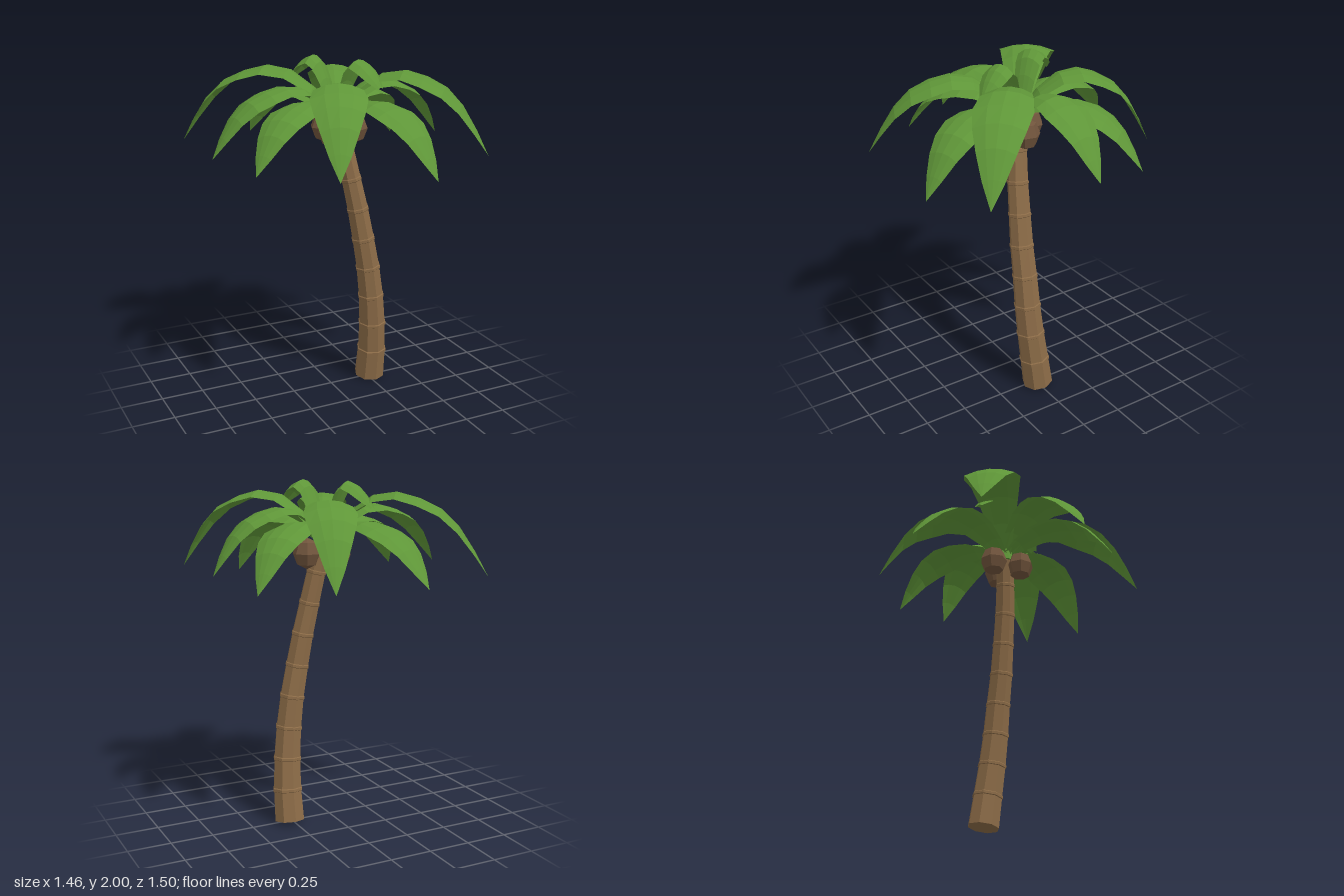
import * as THREE from 'three';

const mat = (color, side = THREE.FrontSide) =>
  new THREE.MeshStandardMaterial({ color, side, flatShading: true, roughness: 0.9 });
const v3 = (x, y, z) => new THREE.Vector3(x, y, z);

// Linear lookup in an evenly spaced table
function sample(table, t) {
  const f = t * (table.length - 1), i = Math.min(Math.floor(f), table.length - 2);
  return THREE.MathUtils.lerp(table[i], table[i + 1], f - i);
}

// Move every vertex of a geometry by a rule
function reshape(geometry, rule) {
  const p = geometry.attributes.position;
  for (let i = 0; i < p.count; i++) {
    const q = rule(p.getX(i), p.getY(i), p.getZ(i));
    p.setXYZ(i, q.x, q.y, q.z);
  }
  geometry.computeVertexNormals();
  return geometry;
}

// Bent eight-sided trunk with slightly raised bands at the joints
function trunkGeometry() {
  const curve = new THREE.CatmullRomCurve3([
    v3(0.267, 0.01, -0.005), v3(0.267, 0.2, 0.022), v3(0.257, 0.38, 0.043),
    v3(0.24, 0.56, 0.055), v3(0.215, 0.75, 0.058), v3(0.18, 0.94, 0.058),
    v3(0.145, 1.13, 0.05), v3(0.107, 1.31, 0.038), v3(0.07, 1.5, 0.018), v3(0.04, 1.65, -0.005),
  ]);
  const stations = [[0, 1]];
  for (let k = 1; k < 9; k++) {
    const u = k / 8.93;
    stations.push([u - 0.007, 1], [u - 0.005, 1.06], [u + 0.004, 1.06], [u + 0.007, 1]);
  }
  stations.push([1, 1]);
  const rows = stations.length - 1;
  return reshape(new THREE.CylinderGeometry(1, 1, 1, 8, rows), (x, y, z) => {
    const [u, swell] = stations[Math.round((y + 0.5) * rows)];
    const tangent = curve.getTangentAt(u);
    const across = v3(1, 0, 0).addScaledVector(tangent, -tangent.x).normalize();
    const depth = across.clone().cross(tangent).normalize();
    const r = sample([0.092, 0.084, 0.077, 0.07, 0.064, 0.058, 0.053], u) * swell;
    return curve.getPointAt(u).addScaledVector(across, x * r).addScaledVector(depth, z * r);
  });
}

// Leaf blade along an arched path of (distance, height), drooping at its edges;
// widths run evenly over the horizontal distance
function leafGeometry(centre, angle, path, widths, scale, droop) {
  const curve = new THREE.SplineCurve(path.map(([r, y]) => new THREE.Vector2(r, y)));
  const length = path[path.length - 1][0];
  const dx = Math.cos(angle), dz = Math.sin(angle);
  return reshape(new THREE.PlaneGeometry(2, 1, 4, 8), (s, y) => {
    const c = curve.getPoint(0.5 - y);
    const half = sample(widths, THREE.MathUtils.clamp(c.x / length, 0, 1)) * scale;
    return v3(
      centre.x + dx * c.x + dz * s * half,
      c.y - droop * s * s * Math.min(1, half / 0.12),
      centre.z + dz * c.x - dx * s * half
    );
  });
}

export function createModel() {
  const group = new THREE.Group();
  const bark = mat(0x8b6b47), shell = mat(0x70543c), green = mat(0x5f9638, THREE.DoubleSide);
  const centre = v3(0.04, 0, -0.01);
  const add = (name, geometry, material) => {
    const mesh = new THREE.Mesh(geometry, material);
    mesh.name = name;
    group.add(mesh);
    return mesh;
  };

  add('trunk', trunkGeometry(), bark);

  // Crown bud where the leaves meet
  add('crownBud', new THREE.CylinderGeometry(0.045, 0.06, 0.08, 8), green)
    .position.set(centre.x, 1.665, centre.z);

  // Three coconuts under the crown
  for (let i = 0; i < 3; i++) {
    const a = 0.17 + (i * Math.PI * 2) / 3;
    const nut = add('coconut', new THREE.SphereGeometry(0.082, 7, 4), shell);
    nut.position.set(centre.x + 0.1 * Math.cos(a), 1.59, centre.z + 0.1 * Math.sin(a));
    nut.scale.y = 1.1;
    nut.rotation.y = -a;
  }

  // Large leaves: tip x, tip z, tip height, arch height
  const widths = [0.035, 0.07, 0.1, 0.122, 0.14, 0.156, 0.12, 0.08, 0];
  const leaves = [
    [-0.69, -0.59, 1.48, 1.94], [0.685, 0.57, 1.49, 1.94],
    [0.32, -0.715, 1.46, 1.91], [-0.31, 0.745, 1.49, 1.91],
    [0.73, -0.06, 1.5, 1.86], [-0.73, 0.045, 1.5, 1.86],
    [-0.205, -0.75, 1.46, 1.79], [0.28, 0.71, 1.42, 1.79],
    [0.625, -0.43, 1.44, 1.79], [-0.6, 0.35, 1.46, 1.79],
  ];
  for (const [x, z, tip, top] of leaves) {
    const dx = x - centre.x, dz = z - centre.z, length = Math.hypot(dx, dz), drop = top - tip;
    const path = [
      [0, 1.66], [0.2, 1.66 + 0.75 * (top - 1.66)], [0.4, top], [0.58, top - 0.07 * drop],
      [0.75, top - 0.25 * drop], [0.88, top - 0.58 * drop], [1, tip],
    ].map(([r, y]) => [r * length, y]);
    add('leaf', leafGeometry(centre, Math.atan2(dz, dx), path, widths, 0.35 + 0.8 * length, 0.035), green);
  }

  // Two short young leaves curling over at the top
  const curl = [[0.01, 1.66], [0.05, 1.8], [0.1, 1.94], [0.16, 2.0], [0.23, 1.965], [0.29, 1.9], [0.32, 1.86]];
  const curlWidths = [0.03, 0.05, 0.068, 0.078, 0.085, 0.08, 0.06, 0.02];
  for (const [dx, dz] of [[-0.16, -0.27], [0.11, 0.28]])
    add('youngLeaf', leafGeometry(centre, Math.atan2(dz, dx), curl, curlWidths, 1, 0.06), green);

  return group;
}
